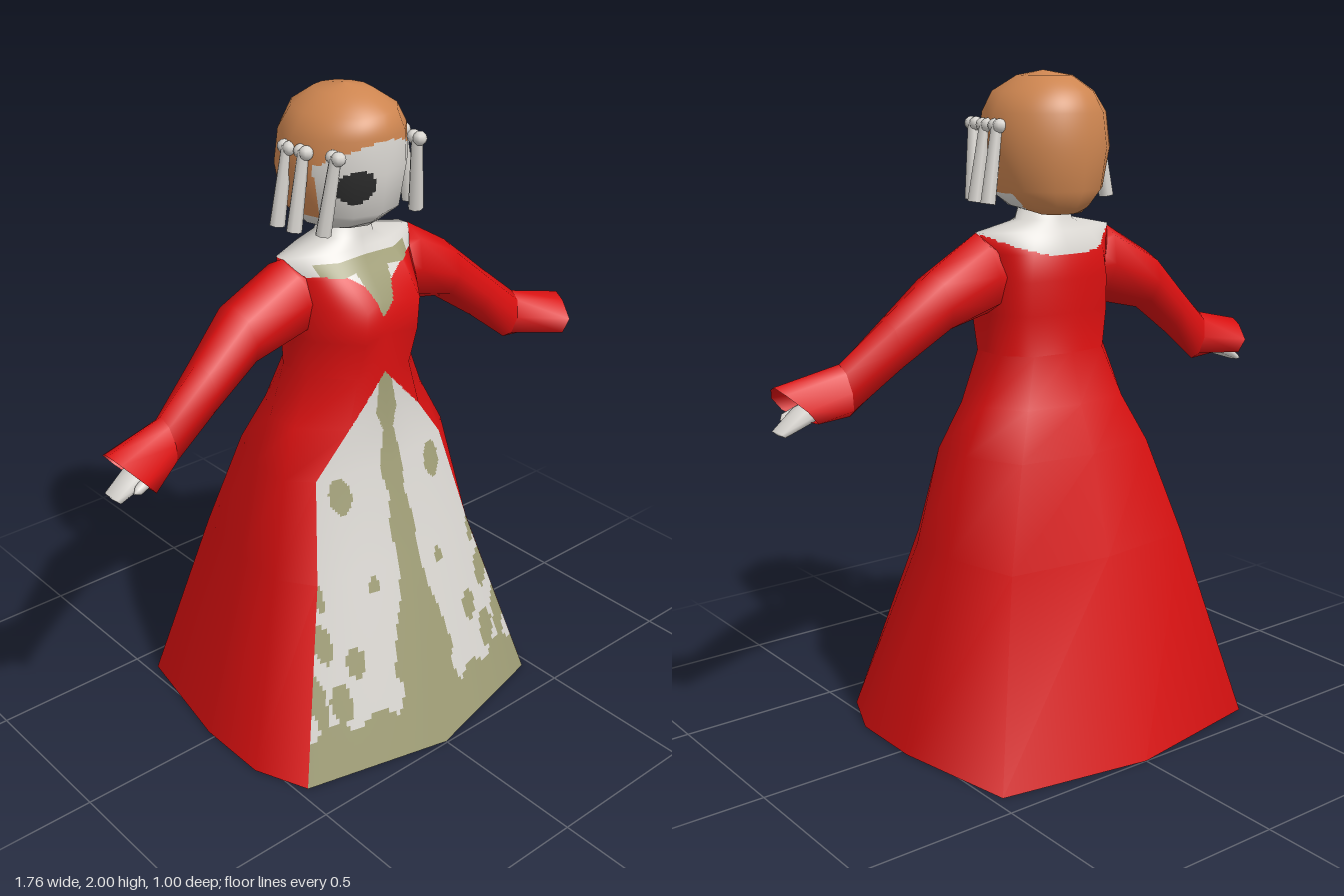
import * as THREE from 'three';

const mat = (name, color) => {
  const m = new THREE.MeshStandardMaterial({ color, side: THREE.DoubleSide });
  m.name = name;
  return m;
};
const RED = 0, WHITE = 1, OLIVE = 2, COPPER = 3, DARK = 4;
const materials = [
  mat('red cloth', 0xd81010), mat('pale white', 0xd8d5d0), mat('olive trim', 0x9f9d76),
  mat('copper hair', 0xcd8550), mat('dark eye', 0x2c2c2c),
];

// Skin closed rings of points. Each panel may be split finely so pick(p) can colour its cells;
// normals come from the coarse shape and are blended over the cells.
function loft(name, rings, pick, res = () => [1, 1]) {
  const n = rings[0].length;
  const points = rings.flat();
  const index = [];
  for (let j = 0; j < rings.length - 1; j++) for (let i = 0; i < n; i++) {
    const a = j * n + i, b = j * n + (i + 1) % n;
    index.push(a, b, b + n, a, b + n, a + n);
  }
  const coarse = new THREE.BufferGeometry().setFromPoints(points);
  coarse.setIndex(index);
  coarse.computeVertexNormals();
  const normals = points.map((_, k) => new THREE.Vector3().fromBufferAttribute(coarse.attributes.normal, k));
  const blend = (list, [a, b, c, d], u, v) =>
    list[a].clone().lerp(list[b], u).lerp(list[d].clone().lerp(list[c], u), v);

  const buckets = materials.map(() => ({ pos: [], nor: [] }));
  for (let j = 0; j < rings.length - 1; j++) for (let i = 0; i < n; i++) {
    const a = j * n + i, b = j * n + (i + 1) % n, quad = [a, b, b + n, a + n];
    const [nu, nv] = res(i, j);
    for (let s = 0; s < nu; s++) for (let t = 0; t < nv; t++) {
      const bucket = buckets[pick(blend(points, quad, (s + 0.5) / nu, (t + 0.5) / nv))];
      for (const [du, dv] of [[0, 0], [1, 0], [1, 1], [0, 0], [1, 1], [0, 1]]) {
        const u = (s + du) / nu, v = (t + dv) / nv;
        bucket.pos.push(...blend(points, quad, u, v).toArray());
        bucket.nor.push(...blend(normals, quad, u, v).normalize().toArray());
      }
    }
  }
  const geo = new THREE.BufferGeometry();
  const pos = [], nor = [], used = [];
  for (let k = 0; k < buckets.length; k++) {
    const { pos: p, nor: q } = buckets[k];
    if (!p.length) continue;
    geo.addGroup(pos.length / 3, p.length / 3, used.length);
    used.push(materials[k]);
    for (const x of p) pos.push(x);
    for (const x of q) nor.push(x);
  }
  geo.setAttribute('position', new THREE.Float32BufferAttribute(pos, 3));
  geo.setAttribute('normal', new THREE.Float32BufferAttribute(nor, 3));
  const mesh = new THREE.Mesh(geo, used.length === 1 ? used[0] : used);
  mesh.name = name;
  return mesh;
}

// Straight-line interpolation through [key, value] pairs
function along(table, y) {
  for (let i = 1; i < table.length; i++) {
    const [y0, a] = table[i - 1], [y1, b] = table[i];
    if (y <= y1) return a + (b - a) * Math.max(0, (y - y0) / (y1 - y0));
  }
  return table[table.length - 1][1];
}

// Gown and neck: y, front z, then x/z of front corner, side front, side back, back corner, and back z
const gown = [
  [0, 0.495, 0.47, 0.38, 0.54, 0.21, 0.54, -0.03, 0.47, -0.42, -0.5],
  [0.59, 0.315, 0.31, 0.24, 0.385, 0.13, 0.385, -0.04, 0.33, -0.28, -0.32],
  [0.89, 0.225, 0.25, 0.165, 0.32, 0.1, 0.32, -0.04, 0.24, -0.21, -0.245],
  [1.03, 0.2, 0.14, 0.185, 0.255, 0.07, 0.255, -0.04, 0.18, -0.16, -0.185],
  [1.18, 0.185, 0.1, 0.18, 0.195, 0.07, 0.195, -0.05, 0.13, -0.125, -0.14],
  [1.3, 0.185, 0.1, 0.213, 0.2, 0.09, 0.2, -0.05, 0.14, -0.13, -0.14],
  [1.4, 0.17, 0.1, 0.22, 0.2, 0.1, 0.2, -0.05, 0.14, -0.13, -0.137],
  [1.48, 0.11, 0.11, 0.14, 0.2, 0.07, 0.2, -0.06, 0.13, -0.125, -0.13],
  [1.54, 0.085, 0.1, 0.08, 0.235, 0.02, 0.235, -0.02, 0.1, -0.09, -0.1],
  [1.57, 0.08, 0.06, 0.06, 0.09, 0.02, 0.09, -0.02, 0.06, -0.065, -0.08],
  [1.66, 0.055, 0.04, 0.045, 0.06, 0.02, 0.06, -0.01, 0.04, -0.035, -0.045],
];
const gownRing = ([y, f, ax, az, bx, bz, cx, cz, dx, dz, e]) => {
  const side = [[ax, az], [bx, bz], [cx, cz], [dx, dz]];
  return [[0, f], ...side, [0, e], ...side.slice().reverse().map(([x, z]) => [-x, z])]
    .map(([x, z]) => new THREE.Vector3(x, y, z));
};
const panelWidth = [[0, 0.47], [0.59, 0.31], [0.89, 0.25], [1.03, 0.14], [1.18, 0]];
const stripeWidth = [[0.12, 0.14], [0.2, 0.1], [0.26, 0.12], [0.36, 0.1], [0.5, 0.055], [0.6, 0.04],
  [0.7, 0.05], [0.8, 0.03], [0.88, 0.045], [1, 0.02], [1.06, 0.04], [1.12, 0.03], [1.18, 0.02]];
const neckline = [[0, 1.35], [0.02, 1.38], [0.05, 1.45], [0.1, 1.485], [0.2, 1.49], [0.24, 1.54]];
// Embroidered spots: x, y, x radius, y radius
const spots = [[0.185, 0.83, 0.036, 0.055], [0.24, 0.33, 0.03, 0.05], [0.33, 0.41, 0.028, 0.06],
  [0.31, 0.22, 0.035, 0.065], [0.135, 0.545, 0.017, 0.025], [0.315, 0.55, 0.014, 0.05], [0.38, 0.24, 0.025, 0.09]];

function gownColour(p) {
  const x = Math.abs(p.x), y = p.y;
  if (y < 1.18) {
    if (p.z < 0 || x > along(panelWidth, y)) return RED;
    const trim = x < along(stripeWidth, y) || y < 0.15 + 0.02 * Math.sin(x * 40) ||
      spots.some(([sx, sy, rx, ry]) => ((x - sx) / rx) ** 2 + ((y - sy) / ry) ** 2 < 1);
    return trim ? OLIVE : WHITE;
  }
  if (p.z < 0) return y > 1.47 + 1.2 * x * x ? WHITE : RED;
  if (y < along(neckline, x)) return RED;
  if (y < 1.5 && x < 0.02 + (y - 1.35) * 0.3) return OLIVE;
  return Math.abs(y - 1.502) < 0.017 && x < 0.17 ? OLIVE : WHITE;
}

// Limb rings: top x/y, bottom x/y, centre z, half depth, widening toward the bottom
const limb = (name, rows, s, colour) => loft(name, rows.map(([tx, ty, bx, by, cz, hz, k = 0]) =>
  Array.from({ length: 8 }, (_, i) => {
    const a = i * Math.PI / 4, c = Math.cos(a);
    return new THREE.Vector3(s * ((tx + bx) / 2 + c * (tx - bx) / 2), (ty + by) / 2 + c * (ty - by) / 2,
      cz + s * Math.sin(a) * hz * (1 - k * c));
  })), () => colour);
const sleeve = [[0.17, 1.5, 0.15, 1.32, 0.01, 0.07], [0.24, 1.54, 0.2, 1.3, 0.01, 0.095],
  [0.41, 1.44, 0.375, 1.26, 0, 0.095], [0.55, 1.32, 0.52, 1.16, 0.02, 0.07], [0.69, 1.205, 0.66, 1.05, 0.038, 0.046]];
const cuff = [sleeve[4], [0.88, 1.16, 0.79, 1.05, 0.065, 0.105, 0.6]];
const hand = [[0.7, 1.14, 0.69, 1.08, 0.05, 0.03], [0.81, 1.095, 0.79, 1.045, 0.06, 0.05],
  [0.88, 1.035, 0.865, 1.02, 0.06, 0.04], [0.875, 1.025, 0.875, 1.025, 0.06, 0]];
const thumb = [[0.77, 1.1, 0.76, 1.06, 0.1, 0.02], [0.83, 1.07, 0.82, 1.045, 0.115, 0.014], [0.84, 1.05, 0.84, 1.05, 0.115, 0]];

// Head rings: y, front z, half width, back z
const head = [[1.585, -0.09, 0, -0.09], [1.59, -0.04, 0.07, -0.13], [1.61, 0.105, 0.115, -0.16], [1.66, 0.165, 0.168, -0.19],
  [1.78, 0.18, 0.195, -0.202], [1.88, 0.178, 0.185, -0.19], [1.94, 0.165, 0.145, -0.165],
  [1.985, 0.08, 0.08, -0.095], [2, 0, 0, 0]];
const headRing = ([y, f, w, b]) => Array.from({ length: 12 }, (_, i) => {
  const a = i * Math.PI / 6;
  return new THREE.Vector3(w * Math.sin(a), y, (f + b) / 2 + Math.cos(a) * (f - b) / 2);
});
function headColour({ x, y, z }) {
  if (z > 0 && Math.hypot(x + 0.08, y - 1.75) < 0.05) return DARK;
  const face = z > 0.07 && y < 1.87 - 2 * x * x;
  return face || (y < 1.65 && z > -0.05) ? WHITE : COPPER;
}

// Hanging curl with a knot of two beads at its top
function curl(x0, z0, x1, z1) {
  const group = new THREE.Group();
  group.name = 'curl';
  const top = new THREE.Vector3(x0, 1.85, z0), bottom = new THREE.Vector3(x1, 1.625, z1);
  const dir = top.clone().sub(bottom);
  const lock = new THREE.Mesh(new THREE.CylinderGeometry(0.017, 0.023, dir.length(), 7), materials[WHITE]);
  lock.name = 'lock';
  lock.position.copy(top).add(bottom).multiplyScalar(0.5);
  lock.quaternion.setFromUnitVectors(new THREE.Vector3(0, 1, 0), dir.normalize());
  group.add(lock);
  for (const dz of [-0.012, 0.012]) {
    const bead = new THREE.Mesh(new THREE.SphereGeometry(0.021, 8, 6), materials[WHITE]);
    bead.name = 'bead';
    bead.position.set(x0, 1.845, z0 + dz);
    group.add(bead);
  }
  return group;
}

export function createModel() {
  const model = new THREE.Group();
  model.name = 'lady in gown';
  model.add(loft('gown and neck', gown.map(gownRing), gownColour, (i, j) => {
    const front = i === 0 || i === 9;
    return j < 4 ? (front ? [36, 36] : [1, 1]) : front ? [24, 24] : [12, 12];
  }));
  model.add(loft('head and hair', head.map(headRing), headColour, () => [10, 12]));
  for (const s of [1, -1]) {
    const side = s > 0 ? 'left' : 'right';
    model.add(limb(side + ' sleeve', sleeve, s, RED), limb(side + ' cuff', cuff, s, RED),
      limb(side + ' hand', hand, s, WHITE), limb(side + ' thumb', thumb, s, WHITE));
    for (const [x0, z0, x1, z1] of [[0.15, 0.14, 0.175, 0.115], [0.18, 0.04, 0.218, 0.04], [0.185, -0.025, 0.222, -0.03]])
      model.add(curl(s * x0, z0, s * x1, z1));
  }
  return model;
}
